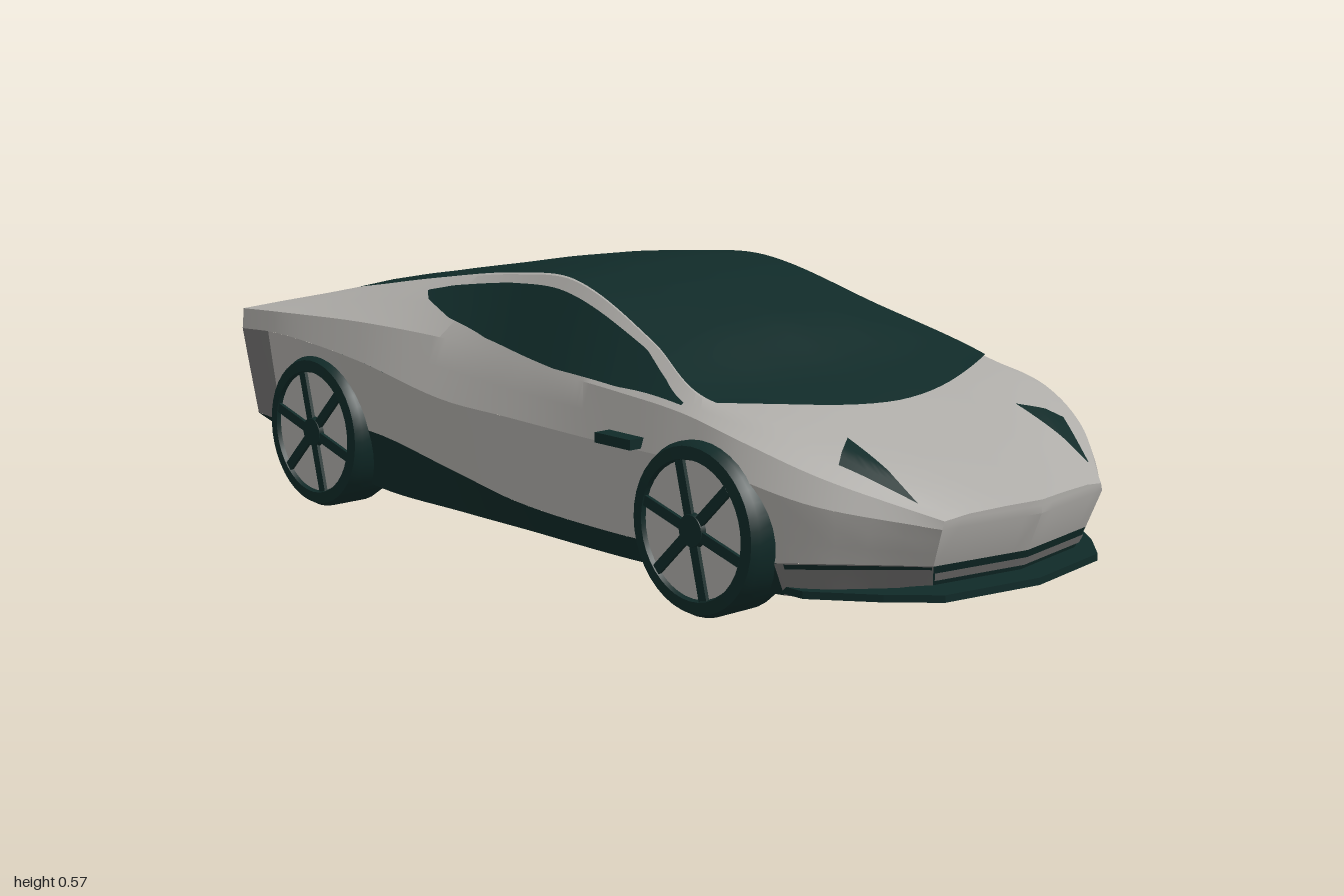
import * as THREE from 'three';
import { toCreasedNormals } from 'three/addons/utils/BufferGeometryUtils.js';

const paint = new THREE.MeshStandardMaterial({ color: 0xadaba7 });
paint.name = 'silver paint';
const dark = new THREE.MeshStandardMaterial({ color: 0x102a28 });
dark.name = 'dark glass and trim';
const grey = new THREE.MeshStandardMaterial({ color: 0x727170 });
grey.name = 'grey bumper';

// Half sections from tail to nose:
// z, floor y, sill y, then x,y of widest line, shoulder and roof edge, centre y
const STATIONS = [
  [-0.96, 0.14, 0.16, 0.44, 0.355, 0.435, 0.4, 0.19, 0.405, 0.41],
  [-0.8, 0.11, 0.16, 0.455, 0.365, 0.44, 0.41, 0.2, 0.44, 0.45],
  [-0.5, 0.06, 0.19, 0.459, 0.345, 0.425, 0.42, 0.22, 0.495, 0.506],
  [-0.2, 0.055, 0.15, 0.456, 0.3, 0.395, 0.41, 0.25, 0.54, 0.556],
  [0, 0.055, 0.12, 0.455, 0.295, 0.405, 0.395, 0.27, 0.55, 0.566],
  [0.3, 0.055, 0.11, 0.458, 0.29, 0.425, 0.385, 0.325, 0.465, 0.49],
  [0.5, 0.06, 0.115, 0.46, 0.29, 0.43, 0.37, 0.385, 0.395, 0.405],
  [0.65, 0.06, 0.12, 0.455, 0.28, 0.427, 0.34, 0.345, 0.362, 0.355],
  [0.8, 0.062, 0.13, 0.39, 0.24, 0.365, 0.285, 0.27, 0.305, 0.3],
  [0.96, 0.085, 0.125, 0.23, 0.2, 0.225, 0.215, 0.17, 0.222, 0.226],
];
const spline = new THREE.CubicInterpolant(
  STATIONS.map((s) => s[0]), STATIONS.flatMap((s) => s.slice(1)), 9);
const lerp = THREE.MathUtils.lerp;

// Section at z as seven points, floor edge (0) to centreline (6)
function section(z) {
  const [floorY, sillY, wx, wy, sx, sy, rx, ry, cy] = spline.evaluate(z);
  return [[wx * 0.89, floorY], [wx * 0.955, sillY], [wx, wy], [sx, sy], [rx, ry],
    [rx / 2, lerp(ry, cy, 0.75)], [0, cy]];
}

// Bow the nose and tail in plan and rake them back below
function bend(x, y, z) {
  const f = THREE.MathUtils.smoothstep(z, 0.7, 0.96);
  const r = THREE.MathUtils.smoothstep(-z, 0.7, 0.96);
  const front = 0.04 * Math.max(0, 1 - Math.abs(x) / 0.23) - 0.4 * Math.max(0, 0.2 - y);
  const rear = 0.04 * (1 - (x / 0.44) ** 2) - 0.15 * Math.max(0, 0.35 - y);
  return new THREE.Vector3(x, y, z + f * front - r * rear);
}

// Point on the body: s runs along the half section, lift moves it outward
function surf(z, s, side = 1, lift = 0) {
  const p = section(z), k = Math.min(5, Math.floor(s)), t = s - k;
  const [ax, ay] = p[k], [bx, by] = p[k + 1];
  const l = Math.hypot(bx - ax, by - ay);
  return bend(side * (lerp(ax, bx, t) + lift * (by - ay) / l),
    lerp(ay, by, t) + lift * (ax - bx) / l, z);
}

// Section parameter of the upper body at a given x
function sAt(x, z) {
  const p = section(z);
  const k = [3, 4, 5].find((i) => x >= p[i + 1][0]);
  return k + (p[k][0] - x) / (p[k][0] - p[k + 1][0]);
}

// Mesh from rows of points
function grid(name, mat, rows) {
  const n = rows[0].length, index = [];
  for (let i = 0; i < rows.length - 1; i++) {
    for (let j = 0; j < n - 1; j++) {
      const a = i * n + j, b = a + 1, c = a + n, d = c + 1;
      index.push(a, c, b, b, c, d);
    }
  }
  const g = new THREE.BufferGeometry().setFromPoints(rows.flat());
  g.setIndex(index);
  return part(name, mat, toCreasedNormals(g, 0.45));
}

function part(name, mat, geometry) {
  const m = new THREE.Mesh(geometry, mat);
  m.name = name;
  return m;
}

const steps = (n, fn) => Array.from({ length: n + 1 }, (_, i) => fn(i / n));
const zs = (a, b, n) => steps(n, (t) => lerp(a, b, t));
const oriented = (row, side) => (side > 0 ? row : row.reverse());

// Piecewise linear curve through [z, value] pairs with falling z
function along(pairs, z) {
  const i = Math.max(1, pairs.findIndex((p) => p[0] <= z + 1e-6));
  const [a, b] = [pairs[i - 1], pairs[i]];
  return lerp(a[1], b[1], (a[0] - z) / (a[0] - b[0]));
}

function wheel(side, z) {
  const w = new THREE.Group();
  w.name = 'wheel';
  const profile = [[0.1, 0.28], [0.15, 0.33], [0.166, 0.37], [0.166, 0.455], [0.158, 0.47], [0.134, 0.473], [0.13, 0.462]];
  const tyre = new THREE.LatheGeometry(profile.map((p) => new THREE.Vector2(...p)), 40);
  const disc = (name, mat, r0, r1, h, x) => w.add(part(name, mat,
    new THREE.CylinderGeometry(r0, r1, h, 40).rotateZ(-Math.PI / 2).translate(x, 0, 0)));
  w.add(part('tyre', dark, toCreasedNormals(tyre.rotateZ(-Math.PI / 2), 0.6)));
  disc('rim', paint, 0.132, 0.132, 0.02, 0.454);
  disc('hub', dark, 0.03, 0.036, 0.012, 0.467);
  for (let i = 0; i < 6; i++) {
    const spoke = new THREE.BoxGeometry(0.009, 0.11, 0.021).translate(0.467, 0.077, 0);
    w.add(part('spoke', dark, spoke.rotateX((i * Math.PI) / 3 + 0.25)));
  }
  w.position.set(0, 0.166, z);
  if (side < 0) w.rotation.y = Math.PI;
  return w;
}

export function createModel() {
  const car = new THREE.Group();
  car.name = 'sports car';

  // Upper shell and floor, each across the full width
  const upper = [2, 2.5, 3, 3.5, 4, 5, 6];
  car.add(grid('upperBody', paint, zs(0.96, -0.96, 96).map((z) => [
    ...upper.map((s) => surf(z, s)), ...upper.slice(0, -1).reverse().map((s) => surf(z, s, -1))])));
  car.add(grid('floor', dark, zs(0.96, -0.96, 60).map((z) => {
    const [x, y] = section(z)[0];
    return steps(8, (t) => bend(lerp(-x, x, t), y, z));
  })));

  // Side bands, side windows, headlights, mirrors and wheels
  const winTop = [[0.48, 3.38], [0.4, 3.68], [0.3, 3.85], [-0.2, 3.86], [-0.4, 3.8], [-0.47, 3.72]];
  const winLow = [[0.48, 3.25], [0.3, 3.06], [0.1, 3.04], [-0.15, 3.12], [-0.3, 3.27], [-0.42, 3.52], [-0.47, 3.7]];
  for (const side of [1, -1]) {
    const band = (name, mat, z0, z1, s0, s1, lift = 0) => car.add(grid(name, mat,
      zs(z0, z1, 40).map((z) => oriented(steps(3, (t) => surf(z, lerp(s0, s1, t), side, lift)), side))));
    band('frontBumperCorner', grey, 0.96, 0.72, 0, 1);
    band('sill', dark, 0.72, -0.96, 0, 1);
    band('flank', paint, 0.96, -0.84, 1, 2);
    band('rearBumperCorner', grey, -0.84, -0.96, 1, 2);
    band('bumperSeam', dark, 0.96, 0.74, 0.85, 0.99, 0.003);

    car.add(grid('sideWindow', dark, zs(0.48, -0.47, 60).map((z) => oriented(
      steps(4, (t) => surf(z, lerp(along(winLow, z), along(winTop, z), t), side, 0.004)), side))));

    car.add(grid('headlight', dark, steps(12, (v) => oriented(steps(8, (u) => {
      const x = lerp(0.245, lerp(0.32, 0.24, u), v), z = lerp(0.915, lerp(0.79, 0.735, u), v);
      return surf(z, sAt(x, z), side, 0.005);
    }), side))));

    car.add(part('mirror', dark, new THREE.BoxGeometry(0.04, 0.02, 0.1).translate(side * 0.466, 0.305, 0.36)));
    for (const z of [0.56, -0.65]) car.add(wheel(side, z));
  }

  // Windscreen, roof and rear window as one glass panel
  car.add(grid('canopyGlass', dark, steps(100, (v) => steps(20, (t) => {
    const u = 1 - 2 * t, z = lerp(0.645 - 0.11 * u * u, -0.825, v);
    return surf(z, 6 - 2 * Math.abs(u), u < 0 ? -1 : 1, 0.004);
  }))));

  // Nose and tail faces
  const cap = (name, mat, end, levels, out = 0) => car.add(grid(name, mat, levels.map((s) => {
    const { x, y } = surf(0.96 * end, s);
    return steps(12, (t) => {
      const q = bend(end * lerp(-x, x, t), y, 0.96 * end);
      q.z += out * end;
      return q;
    });
  })));
  cap('nose', paint, 1, [6, 5, 4, 3, 2, 1]);
  cap('frontIntake', dark, 1, [1, 0]);
  cap('intakeSlat', grey, 1, [0.65, 0.25], 0.004);
  cap('tailLip', paint, -1, [6, 5, 4, 3, 2]);
  cap('rearBumper', grey, -1, [2, 1]);
  cap('tailLightStrip', dark, -1, [1.98, 1.86], 0.004);
  cap('rearValance', dark, -1, [1, 0]);

  // Front splitter
  const half = [[0.22, 0.962], [0.3, 0.885], [0.39, 0.77], [0.39, 0.68]];
  const outline = [[0, 1], ...half, ...half.map(([x, z]) => [-x, z]).reverse()];
  const lip = new THREE.Shape(outline.map(([x, z]) => new THREE.Vector2(x, z)));
  car.add(part('splitter', dark, new THREE.ExtrudeGeometry(lip, { depth: 0.014, bevelEnabled: false })
    .rotateX(Math.PI / 2).translate(0, 0.078, 0)));

  // Diffuser fins under the tail
  const fin = new THREE.Shape([[-0.045, 0.15], [0, 0.095], [0.045, 0.15]].map((p) => new THREE.Vector2(...p)));
  for (const x of [-0.27, -0.09, 0.09, 0.27]) {
    car.add(part('diffuserFin', dark, new THREE.ExtrudeGeometry(fin, { depth: 0.2, bevelEnabled: false })
      .translate(x, 0, -0.945)));
  }
  return car;
}
